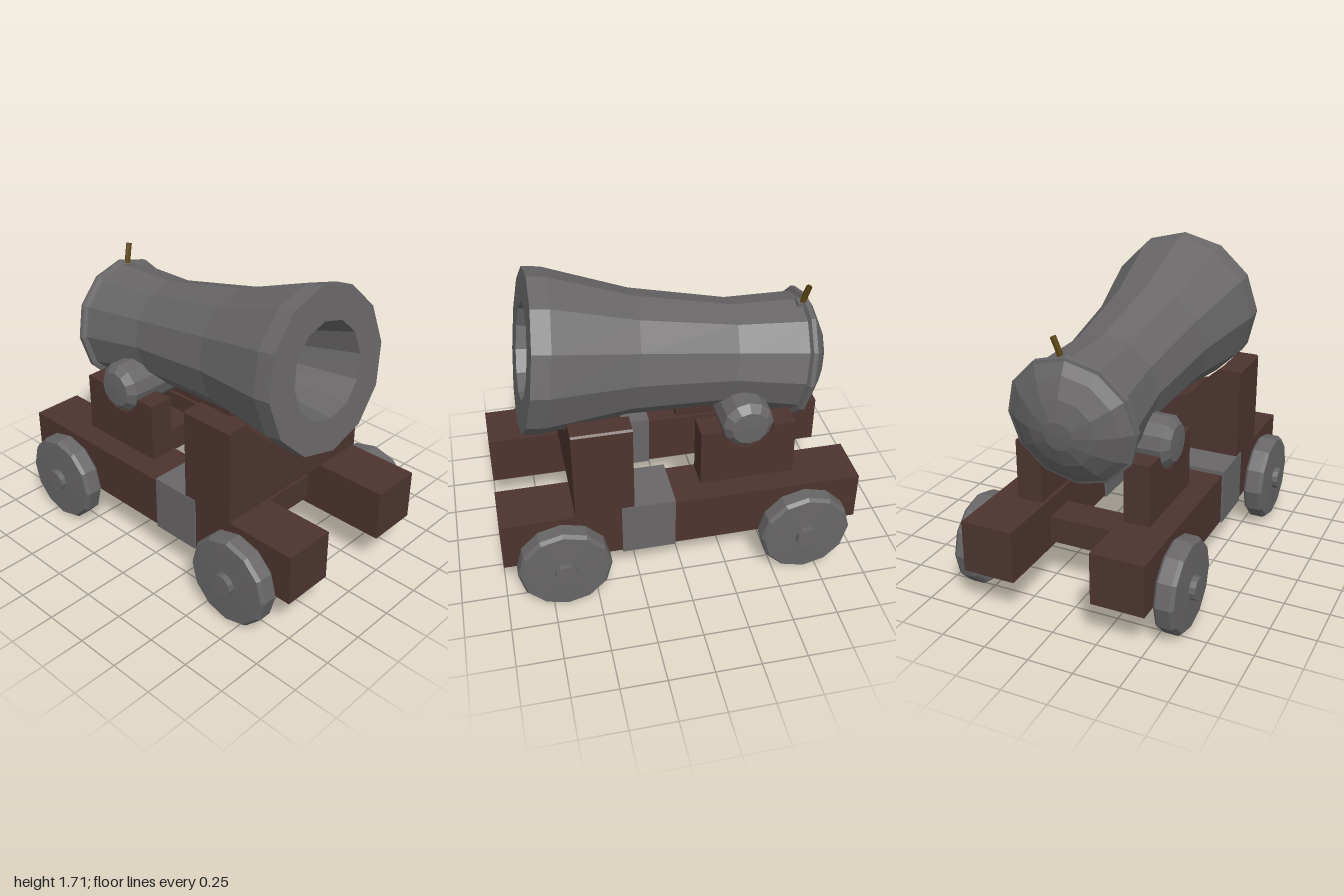
import * as THREE from 'three';

const mat = (color) => new THREE.MeshStandardMaterial({ color, flatShading: true });
const v2 = (pts) => pts.map(([x, y]) => new THREE.Vector2(x, y));

export function createModel() {
  const model = new THREE.Group();
  const metal = mat(0x686667), wood = mat(0x4d342f), brass = mat(0x5c4715);

  const add = (name, geo, material, parent = model) => {
    const mesh = new THREE.Mesh(geo, material);
    mesh.name = name;
    parent.add(mesh);
    return mesh;
  };
  // Box given by its lower and upper limits on each axis
  const box = (name, [x0, x1], [y0, y1], [z0, z1], material) => {
    const mesh = add(name, new THREE.BoxGeometry(x1 - x0, y1 - y0, z1 - z0), material);
    mesh.position.set((x0 + x1) / 2, (y0 + y1) / 2, (z0 + z1) / 2);
    return mesh;
  };
  // Twelve-sided turned part; points are [radius, position along axis]
  const turned = (pts) => new THREE.LatheGeometry(v2(pts), 12);
  const extrude = (pts, depth) =>
    new THREE.ExtrudeGeometry(new THREE.Shape(v2(pts)), { depth, bevelEnabled: false });

  // Barrel: domed breech, base ring, flared muzzle and tapering bore
  const barrel = new THREE.Group();
  barrel.name = 'barrel';
  barrel.position.set(0.77, 1.28, 0);
  barrel.rotation.z = THREE.MathUtils.degToRad(7.8 - 90);
  model.add(barrel);
  add('barrelBody', turned([
    [0, -1.67], [0.08, -1.665], [0.19, -1.63], [0.29, -1.575], [0.345, -1.53],
    [0.362, -1.525], [0.362, -1.5], [0.335, -1.49], [0.332, -1.465],
    [0.295, -1.11], [0.34, -0.57], [0.443, -0.1], [0.444, 0],
    [0.262, 0], [0.15, -0.56], [0.11, -1.14], [0, -1.14],
  ]), metal, barrel);

  // Trunnion through the barrel
  const trunnion = add('trunnion', turned([
    [0, -0.425], [0.1, -0.42], [0.14, -0.38], [0.14, 0.38], [0.1, 0.42], [0, 0.425],
  ]), metal);
  trunnion.rotation.x = Math.PI / 2;
  trunnion.position.set(-0.38, 0.895, 0);

  // Fuse standing at the breech
  const fuse = add('fuse', new THREE.TubeGeometry(new THREE.CatmullRomCurve3([
    new THREE.Vector3(-0.75, 1.37, -0.035),
    new THREE.Vector3(-0.76, 1.44, -0.045),
    new THREE.Vector3(-0.772, 1.52, -0.07),
  ]), 4, 0.017, 6), brass);
  fuse.material.side = THREE.DoubleSide;
  const vent = box('fuseVent', [-0.755, -0.72], [1.37, 1.415], [-0.06, 0], metal);
  vent.rotation.z = 0.1;

  // Front saddle with a cradle cut for the barrel
  const cradle = [[0.4, 1.07], [0.38, 1.03], [0.215, 0.885], [0, 0.83]];
  const mirrored = cradle.slice(0, 3).reverse().map(([x, y]) => [-x, y]);
  const saddle = add('saddle', extrude([
    [-0.52, 0.535], [0.52, 0.535], [0.52, 1.06], [0.51, 1.07],
    ...cradle, ...mirrored, [-0.51, 1.07], [-0.52, 1.06],
  ], 0.32), wood);
  saddle.rotation.y = Math.PI / 2;
  saddle.position.x = 0.275;

  // Cheek outline with a round notch under the trunnion
  const notch = [];
  for (let i = 0; i <= 8; i++) {
    const a = -0.17 - (i / 8) * (Math.PI - 0.34);
    notch.push([-0.38 + 0.148 * Math.cos(a), 0.895 + 0.148 * Math.sin(a)]);
  }
  const cheek = [[-0.65, 0.53], [-0.12, 0.53], [-0.12, 0.87], ...notch, [-0.65, 0.87]];

  // Wheel profile, axis pointing outward
  const wheel = [[0, 0], [0.24, 0], [0.255, 0.015], [0.255, 0.09], [0.24, 0.11], [0, 0.118]];

  for (const s of [1, -1]) {
    const side = s > 0 ? 'front' : 'back';
    const span = (a, b) => (s > 0 ? [a, b] : [-b, -a]);
    box(side + 'Rail', [-1, 1], [0.24, 0.53], span(0.22, 0.515), wood);
    box(side + 'RailBand', [0.05, 0.345], [0.235, 0.552], span(0.21, 0.525), metal);
    add(side + 'Cheek', extrude(cheek, 0.145), wood).position.z = s > 0 ? 0.24 : -0.385;

    for (const x of [-0.675, 0.675]) {
      const group = new THREE.Group();
      group.name = side + 'Wheel';
      group.position.set(x, 0.26, s * 0.522);
      group.rotation.x = s * Math.PI / 2;
      add('wheelDisc', turned(wheel), metal, group);
      const hub = add('axleEnd', new THREE.CylinderGeometry(0.063, 0.063, 0.15, 12), metal, group);
      hub.position.y = 0.075;
      model.add(group);
    }
  }

  // Cross beams joining the rails
  for (const x of [-0.5, 0.41])
    box('crossBeam', [x - 0.1, x + 0.1], [0.275, 0.425], [-0.23, 0.23], wood);

  return model;
}
